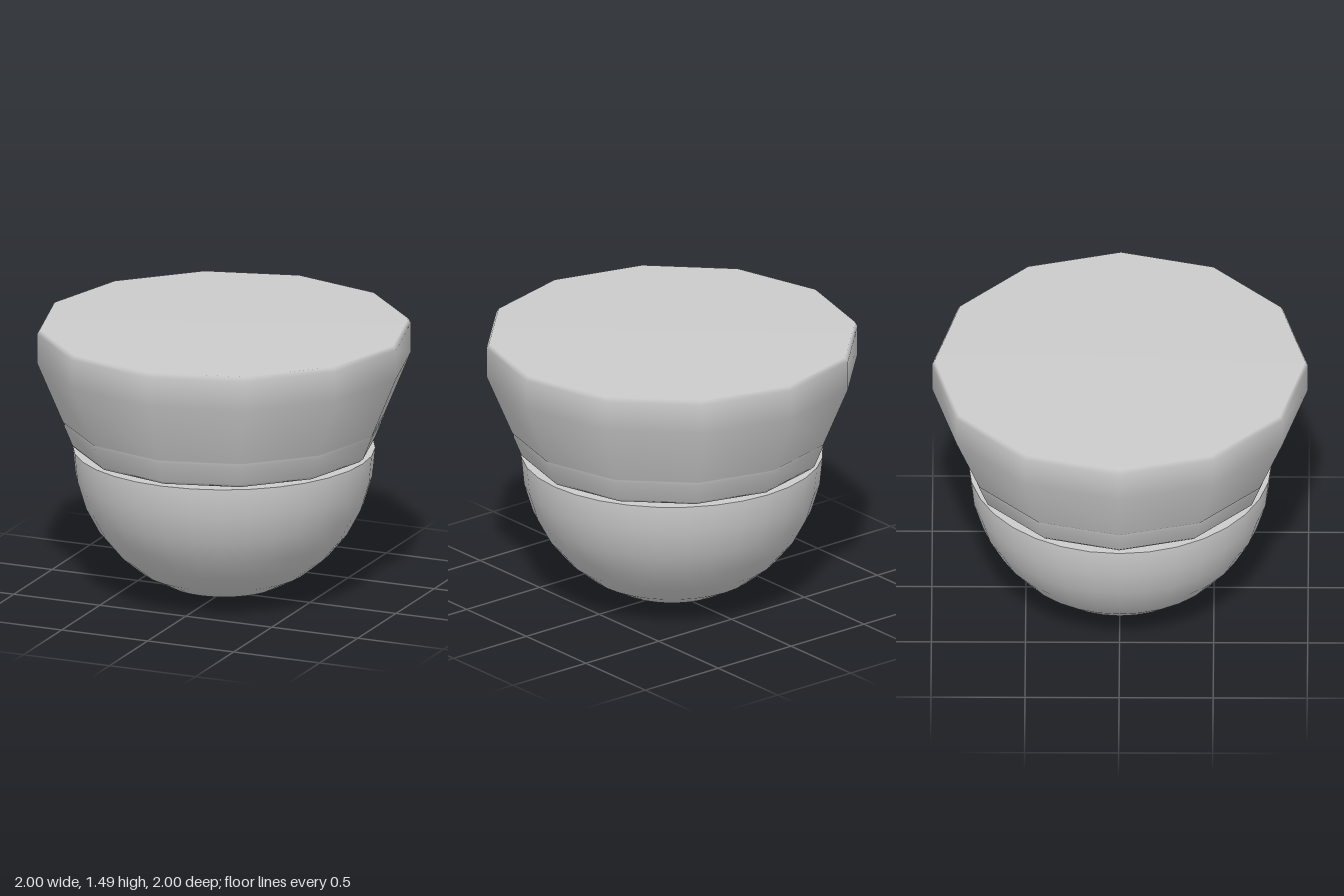
import * as THREE from 'three';

const material = new THREE.MeshStandardMaterial({ color: 0xcccccc });

function addLathe(group, name, profile, segments) {
  const points = profile.map(([r, y]) => new THREE.Vector2(r, y));
  const mesh = new THREE.Mesh(new THREE.LatheGeometry(points, segments), material);
  mesh.name = name;
  group.add(mesh);
}

export function createModel() {
  const group = new THREE.Group();
  group.name = 'domeFixture';

  // Twelve-sided flared housing with a narrow collar lip and flat cap
  addLathe(group, 'housing', [
    [0, 0.815], [0.79, 0.815], [0.81, 0.835], [0.855, 0.945],
    [0.852, 0.957], [0.86, 0.965], [1, 1.3], [1, 1.46], [0.985, 1.485], [0, 1.485],
  ], 12);

  // Smooth hemispherical dome under the housing
  const radius = 0.805;
  const dome = new THREE.Mesh(
    new THREE.SphereGeometry(radius, 32, 8, 0, Math.PI * 2, Math.PI / 2, Math.PI / 2),
    material
  );
  dome.name = 'dome';
  dome.position.y = radius;
  group.add(dome);

  // Flat rim closing the top of the dome
  addLathe(group, 'domeRim', [[radius, radius], [0, radius + 0.005]], 32);

  return group;
}
